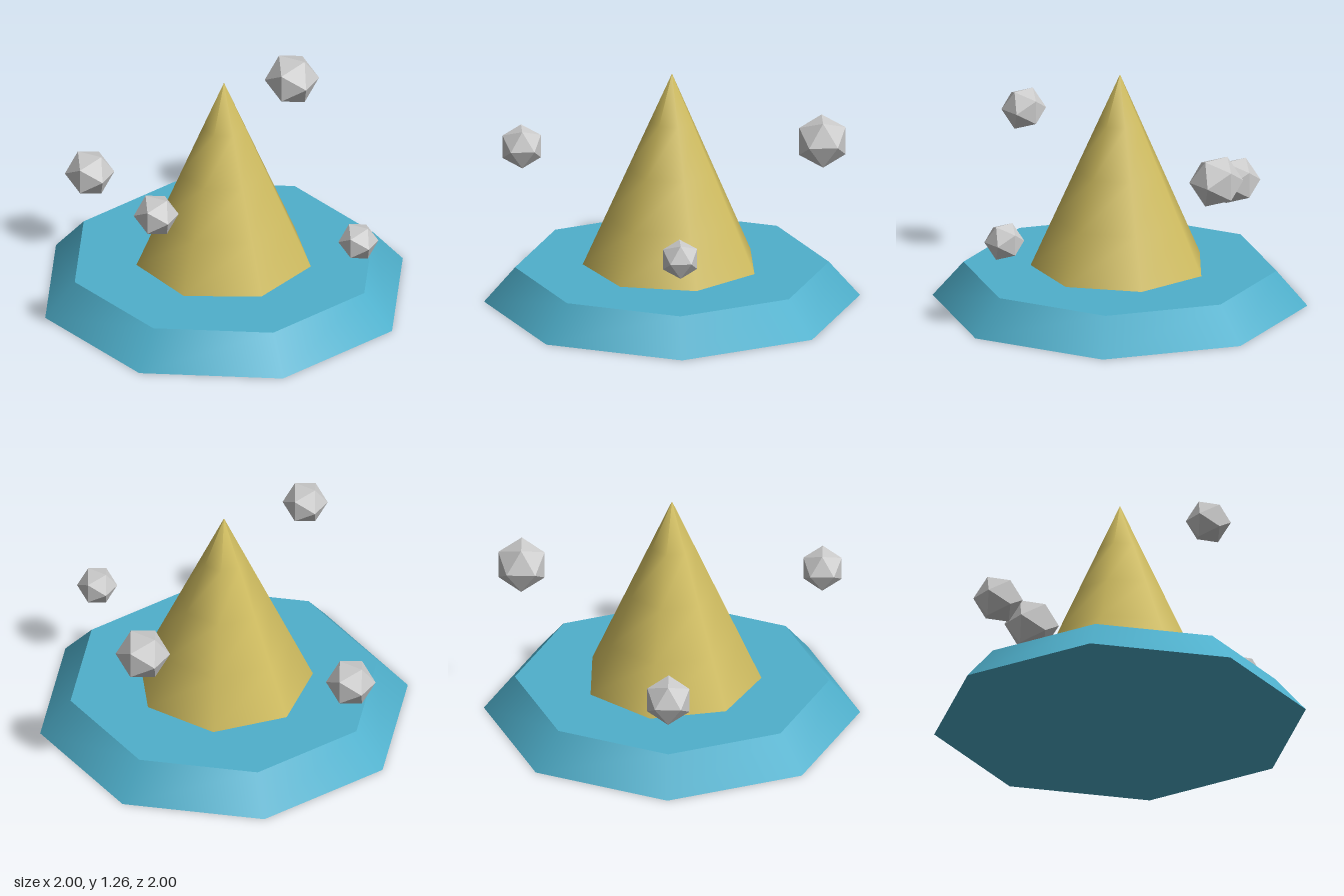
import * as THREE from 'three';

export function createModel() {
  const group = new THREE.Group();

  const add = (name, geometry, color, x, y, z, flatShading = false) => {
    const material = new THREE.MeshStandardMaterial({ color, flatShading });
    const mesh = new THREE.Mesh(geometry, material);
    mesh.name = name;
    mesh.position.set(x, y, z);
    group.add(mesh);
  };

  // Eight-sided tapered plinth
  add('base', new THREE.CylinderGeometry(0.835, 1, 0.19, 8), 0x4fb0cc, 0, 0.095, 0);

  // Seven-sided cone, hovering just above the plinth
  add('cone', new THREE.ConeGeometry(0.475, 1.065, 7, 4), 0xd0bd60, 0, 0.7325, 0);

  // Floating faceted stones: name, radius, x, y, z
  const stones = [
    ['leftStone', 0.107, 0.8, 0.5, 0],
    ['frontStone', 0.12, 0, 0.87, 0.8],
    ['rightStone', 0.132, -0.8, 0.5, 0],
    ['backStone', 0.145, 0, 0.87, -0.8],
  ];
  for (const [name, radius, x, y, z] of stones) {
    add(name, new THREE.IcosahedronGeometry(radius, 0), 0xcccccc, x, y, z, true);
  }

  return group;
}
